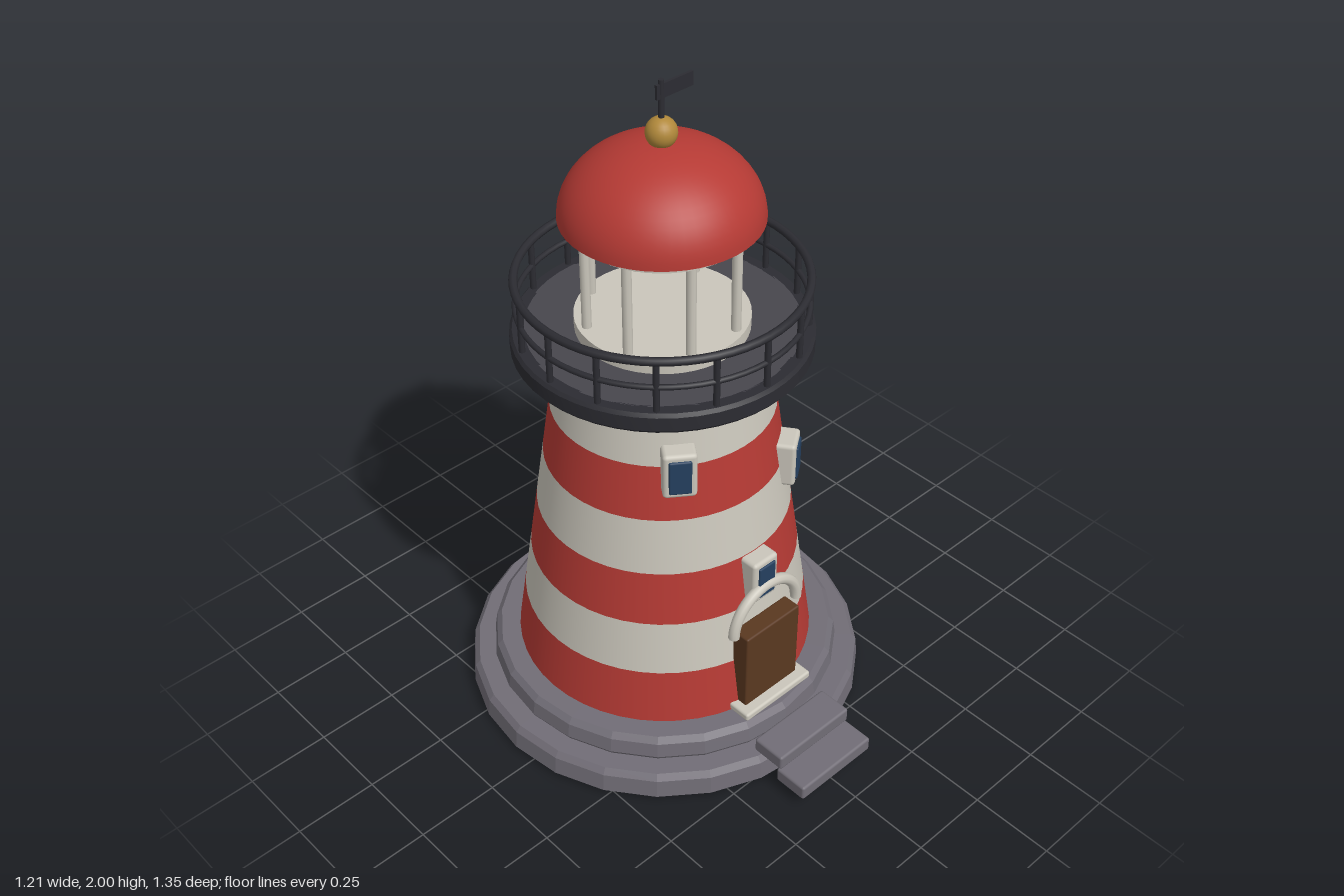
import * as THREE from 'three';
import { toCreasedNormals } from 'three/addons/utils/BufferGeometryUtils.js';
import { RoundedBoxGeometry } from 'three/addons/geometries/RoundedBoxGeometry.js';

const mat = (color, flatShading = false) => new THREE.MeshStandardMaterial({ color, flatShading });
const RED = mat(0xb53a34), WHITE = mat(0xcac6bb), DARK = mat(0x2c2c32), DECK = mat(0x47464d);
const STONE = mat(0x716d76, true), STEP = mat(0x716d76), WOOD = mat(0x5a3820);
const GLASS = mat(0x25405f), GOLD = mat(0xb0883a);

function add(parent, name, geometry, material, x = 0, y = 0, z = 0) {
  const mesh = new THREE.Mesh(geometry, material);
  mesh.name = name;
  mesh.position.set(x, y, z);
  parent.add(mesh);
  return mesh;
}

// Turned shape from [radius, height] pairs, listed from the bottom up
function turned(points, segments = 48, crease = 0.5) {
  const geo = new THREE.LatheGeometry(points.map(([r, y]) => new THREE.Vector2(r, y)), segments);
  return toCreasedNormals(geo, crease);
}

const rod = (r, h, n = 10) => new THREE.CylinderGeometry(r, r, h, n);
const box = (w, h, d, r = 0.008) => new RoundedBoxGeometry(w, h, d, 2, r);
const towerRadius = (y) => 0.45 - 0.148 * (y - 0.16);

// Window standing on the tower wall at a given angle from the front
function addWindow(parent, angle, y) {
  const win = new THREE.Group();
  win.name = 'window';
  const r = towerRadius(y);
  win.position.set(Math.sin(angle) * r, y, Math.cos(angle) * r);
  win.rotation.y = angle;
  add(win, 'windowFrame', box(0.095, 0.145, 0.08, 0.012), WHITE, 0, 0, 0.002);
  add(win, 'windowPane', box(0.063, 0.11, 0.06, 0.005), GLASS, 0, 0, 0.018);
  parent.add(win);
}

// Evenly spaced upright rods around the axis
function addRing(parent, name, count, radius, offset, geometry, material, y) {
  for (let i = 0; i < count; i++) {
    const a = ((i + offset) / count) * Math.PI * 2;
    add(parent, name, geometry, material, Math.sin(a) * radius, y, Math.cos(a) * radius);
  }
}

export function createModel() {
  const model = new THREE.Group();
  model.name = 'lighthouse';
  const tower = new THREE.Group();
  tower.name = 'tower';
  tower.position.z = -0.066;
  model.add(tower);

  // Two faceted stone plinths
  add(tower, 'lowerPlinth', turned([[0, 0], [0.595, 0], [0.606, 0.012], [0.6, 0.07], [0.585, 0.088], [0, 0.088]], 24), STONE);
  add(tower, 'upperPlinth', turned([[0, 0.08], [0.525, 0.085], [0.533, 0.1], [0.526, 0.145], [0.51, 0.162], [0, 0.162]], 24), STONE);

  // Tapered wall in six striped bands
  const bandEdges = [0.16, 0.335, 0.505, 0.675, 0.85, 1.02, 1.18];
  for (let i = 0; i < 6; i++) {
    const [y0, y1] = [bandEdges[i], bandEdges[i + 1]];
    const geo = new THREE.CylinderGeometry(towerRadius(y1), towerRadius(y0), y1 - y0, 48, 1, true);
    add(tower, 'wallBand', geo, i % 2 ? WHITE : RED, 0, (y0 + y1) / 2);
  }

  // Flared gallery with its floor
  add(tower, 'gallery', turned([[0, 1.14], [0.32, 1.14], [0.412, 1.208], [0.42, 1.218], [0.42, 1.26], [0.412, 1.27], [0.38, 1.27]]), DARK);
  add(tower, 'galleryFloor', turned([[0.385, 1.27], [0, 1.27]]), DECK);

  // Gallery railing
  for (const [y, tube] of [[1.425, 0.012], [1.345, 0.008]]) {
    const rail = add(tower, 'rail', new THREE.TorusGeometry(0.4, tube, 8, 64), DARK, 0, y);
    rail.rotation.x = Math.PI / 2;
  }
  addRing(tower, 'railPost', 16, 0.4, 0, rod(0.009, 0.165, 8), DARK, 1.342);

  // Open lantern room
  add(tower, 'lanternBase', rod(0.243, 0.04, 48), WHITE, 0, 1.287);
  add(tower, 'lanternCeiling', rod(0.24, 0.03, 48), WHITE, 0, 1.598);
  addRing(tower, 'lanternPost', 8, 0.217, 0.5, rod(0.014, 0.3), WHITE, 1.445);

  // Domed roof
  const dome = [[0, 1.612], [0.277, 1.612]];
  for (let i = 1; i <= 16; i++) {
    const a = (i / 16) * Math.PI / 2;
    dome.push([i === 16 ? 0 : 0.277 * Math.cos(a), 1.612 + 0.213 * Math.sin(a)]);
  }
  add(tower, 'domeRoof', turned(dome, 48, 0.8), RED);

  // Finial ball, pole and wind vane
  add(tower, 'finialBall', new THREE.SphereGeometry(0.043, 24, 16), GOLD, 0, 1.853);
  add(tower, 'vanePole', rod(0.008, 0.14), DARK, 0, 1.93);
  add(tower, 'vane', new THREE.BoxGeometry(0.125, 0.04, 0.008), DARK, 0.045, 1.968);

  // Windows around the wall
  addWindow(tower, -0.62, 1.015);
  addWindow(tower, 0.62, 0.852);
  addWindow(tower, 0, 0.6);
  addWindow(tower, Math.PI, 0.725);

  // Door, arch and threshold
  add(model, 'door', box(0.212, 0.28, 0.06, 0.006), WOOD, 0, 0.312, 0.368);
  add(model, 'doorArch', new THREE.TorusGeometry(0.126, 0.017, 10, 32, Math.PI), WHITE, 0, 0.455, 0.362);
  for (const side of [-1, 1]) {
    const cap = add(model, 'archEnd', new THREE.CircleGeometry(0.017, 10), WHITE, side * 0.126, 0.455, 0.362);
    cap.rotation.x = Math.PI / 2;
  }
  add(model, 'threshold', box(0.265, 0.026, 0.09), WHITE, 0, 0.174, 0.387);

  // Entrance steps
  add(model, 'upperStep', box(0.285, 0.048, 0.108), STEP, 0, 0.11, 0.528);
  add(model, 'lowerStep', box(0.285, 0.048, 0.108), STEP, 0, 0.057, 0.619);

  return model;
}
